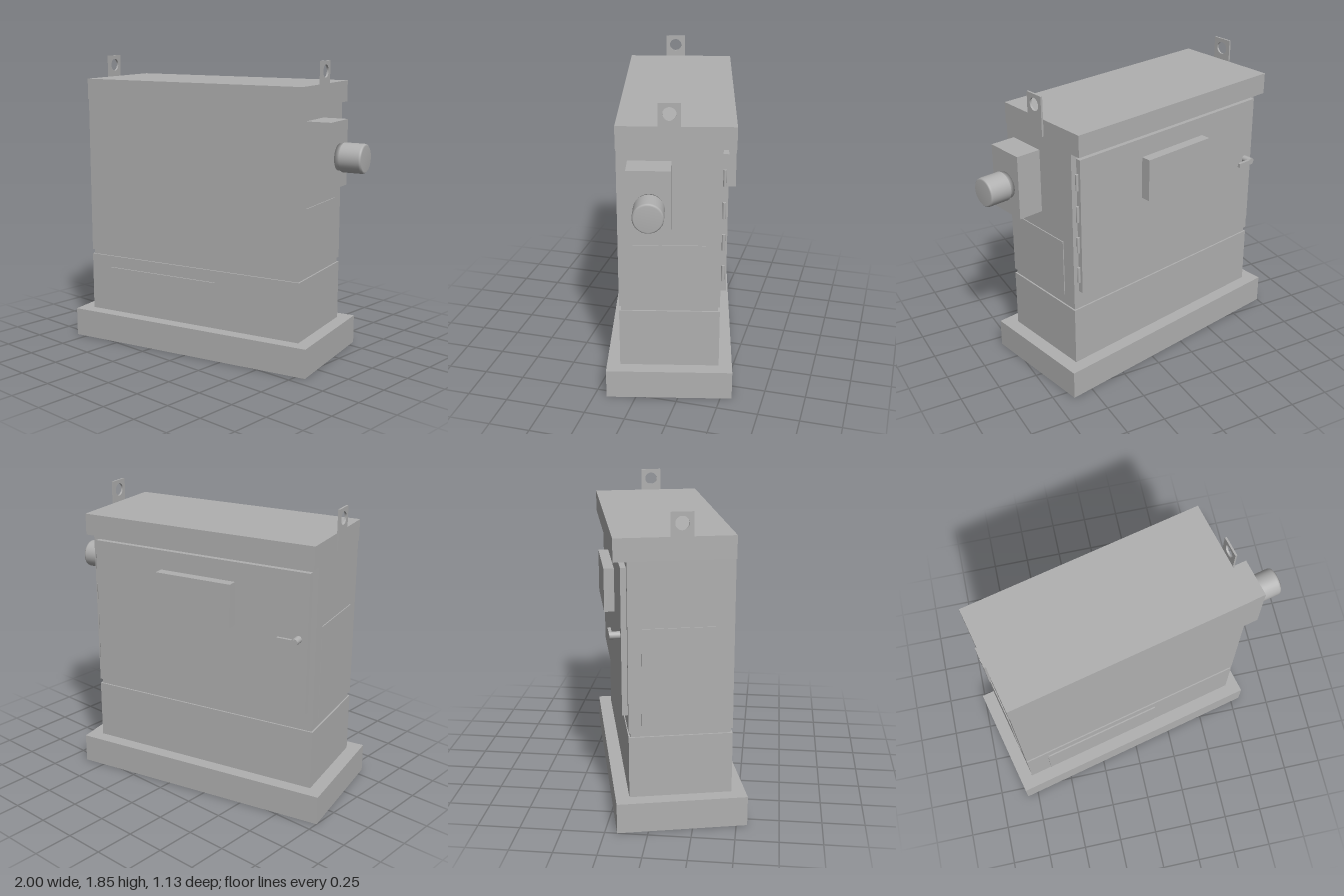
import * as THREE from 'three';

export function createModel() {
  const grey = new THREE.MeshStandardMaterial({ color: 0xb0b0b0, side: THREE.DoubleSide });
  grey.name = 'painted metal grey';

  const model = new THREE.Group();
  model.name = 'electricalCabinet';
  // The cabinet stands turned about the vertical axis
  const cabinet = new THREE.Group();
  cabinet.name = 'cabinet';
  cabinet.position.set(-0.095, 0, -0.002);
  cabinet.rotation.y = 0.235;
  model.add(cabinet);

  const add = (name, geometry) => {
    const mesh = new THREE.Mesh(geometry, grey);
    mesh.name = name;
    cabinet.add(mesh);
    return mesh;
  };
  // Box given by its limits on each axis
  const box = (name, x0, x1, y0, y1, z0, z1) => {
    const mesh = add(name, new THREE.BoxGeometry(x1 - x0, y1 - y0, z1 - z0));
    mesh.position.set((x0 + x1) / 2, (y0 + y1) / 2, (z0 + z1) / 2);
    return mesh;
  };

  // Foot: a tray open underneath
  const foot = box('foot', -0.84, 0.84, 0, 0.182, -0.381, 0.381);
  const index = Array.from(foot.geometry.index.array);
  index.splice(18, 6);
  foot.geometry.setIndex(index);
  foot.geometry.clearGroups();

  // Body with a recessed joint, and a roof overhanging the door
  const W = 0.756, D = 0.3;
  box('plinth', -W, W, 0.172, 0.555, -D, D);
  box('joint', -W + 0.01, W - 0.01, 0.555, 0.585, -D + 0.01, D - 0.01);
  box('body', -W, W, 0.585, 1.58, -D, D);
  box('roof', -W - 0.004, W + 0.004, 1.58, 1.712, -0.375, D + 0.003);

  // Thin cover panels
  box('frontPanel', -0.612, 0.18, 0.21, 0.48, D, D + 0.009);
  box('rightSidePanel', -W - 0.006, -W, 0.62, 1.2, -0.225, 0.215);
  box('leftSidePanel', W, W + 0.006, 0.63, 0.99, -0.21, 0.213);

  // Back door, its plate and hinges
  box('door', -0.72, 0.72, 0.68, 1.54, -D - 0.033, -D);
  box('doorPlate', -0.25, 0.25, 1.155, 1.42, -0.395, -0.33);
  for (const y of [0.8, 1.0, 1.2, 1.4]) {
    add('hinge', new THREE.CylinderGeometry(0.01, 0.01, 0.1, 12)).position.set(0.727, y, -0.312);
  }

  // Door handle: pivot and lever
  const pivot = add('handlePivot', new THREE.CylinderGeometry(0.022, 0.022, 0.065, 20));
  pivot.rotation.x = Math.PI / 2;
  pivot.position.set(-0.66, 1.14, -0.362);
  box('handleLever', -0.675, -0.55, 1.127, 1.153, -0.396, -0.378);

  // Lifting lugs with round eyes
  const lugShape = new THREE.Shape([[-0.064, 1.61], [0.064, 1.61], [0.064, 1.85], [-0.064, 1.85]]
    .map(([x, y]) => new THREE.Vector2(x, y)));
  const eye = new THREE.Path();
  eye.absarc(0, 1.788, 0.039, 0, Math.PI * 2, true);
  lugShape.holes.push(eye);
  for (const side of [-1, 1]) {
    const lug = add('liftingLug', new THREE.ExtrudeGeometry(lugShape,
      { depth: 0.012, bevelEnabled: false, curveSegments: 24 }));
    lug.rotation.y = Math.PI / 2;
    lug.position.x = side * 0.766 - 0.006;
  }

  // Side box with a round lamp on a narrower neck
  box('lampBox', W, 0.914, 1.115, 1.51, -0.012, 0.236);
  const profile = [[0, 0], [0.08, 0], [0.08, 0.03], [0.08, 0.03], [0.088, 0.03], [0.088, 0.03],
    [0.088, 0.15], [0.085, 0.16], [0.077, 0.166], [0, 0.166]];
  const lamp = add('lamp', new THREE.LatheGeometry(
    profile.map(([r, h]) => new THREE.Vector2(r, h)), 40));
  lamp.rotation.z = -Math.PI / 2;
  lamp.position.set(0.914, 1.297, 0.107);

  return model;
}
